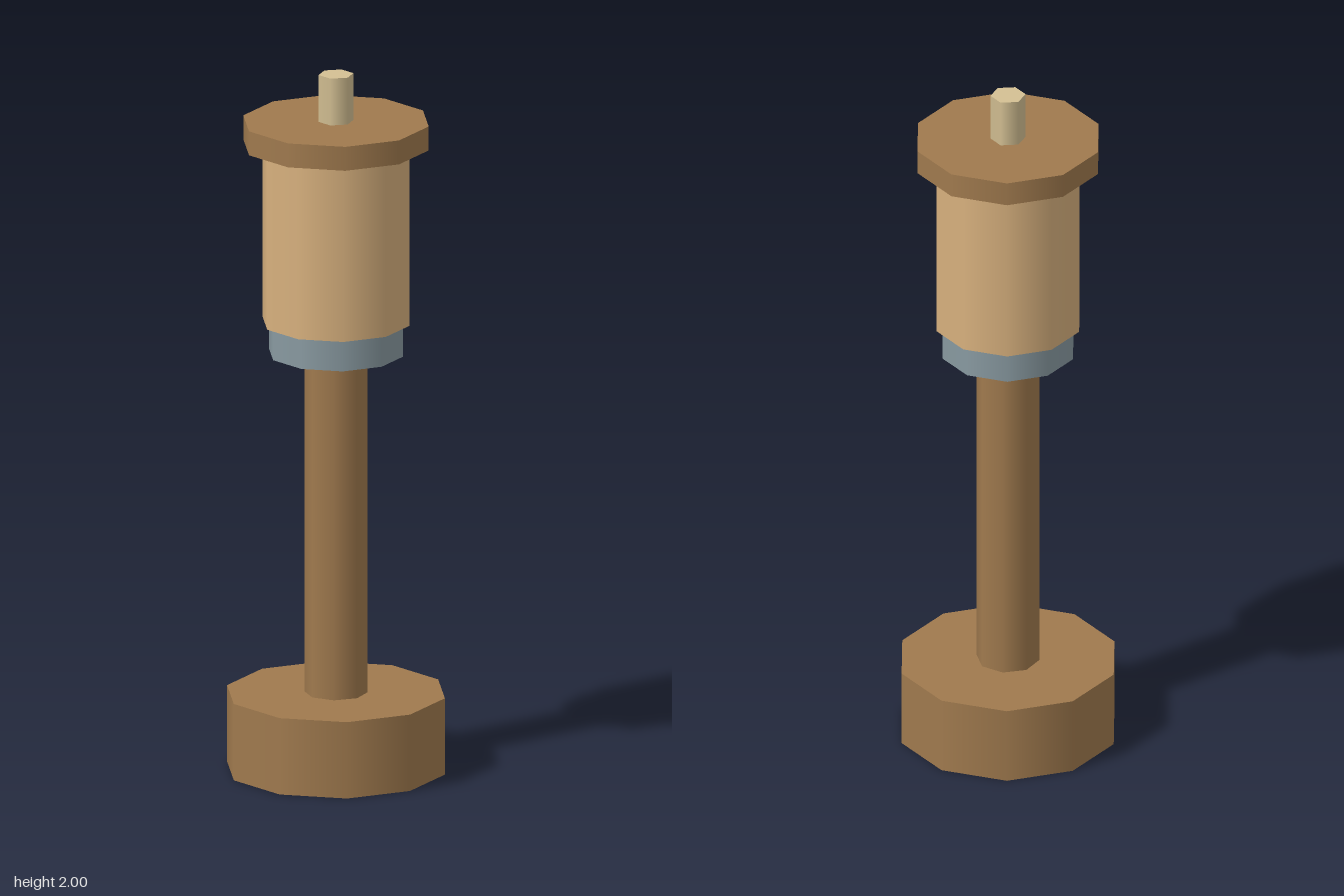
import * as THREE from 'three';

export function createModel() {
  const group = new THREE.Group();
  const paint = (name, color) => {
    const m = new THREE.MeshStandardMaterial({ color });
    m.name = name;
    return m;
  };
  const brown = paint('brown wood', 0xa07a4e);
  const tan = paint('tan wood', 0xd8b17e);
  const steel = paint('grey steel', 0x899aa1);
  const cream = paint('cream', 0xd4c093);

  // One upright prism with a corner pointing along x
  const turned = (name, radius, y0, y1, sides, material) => {
    const geo = new THREE.CylinderGeometry(radius, radius, y1 - y0, sides);
    geo.rotateY(Math.PI / 2);
    const mesh = new THREE.Mesh(geo, material);
    mesh.position.y = (y0 + y1) / 2;
    mesh.name = name;
    group.add(mesh);
  };

  // Stacked from the ground up
  turned('base', 0.309, 0, 0.22, 10, brown);
  turned('shaft', 0.088, 0.22, 1.197, 8, brown);
  turned('collar', 0.19, 1.197, 1.287, 10, steel);
  turned('body', 0.208, 1.287, 1.796, 10, tan);
  turned('cap', 0.263, 1.796, 1.865, 10, brown);
  turned('pin', 0.049, 1.865, 2, 6, cream);
  return group;
}
